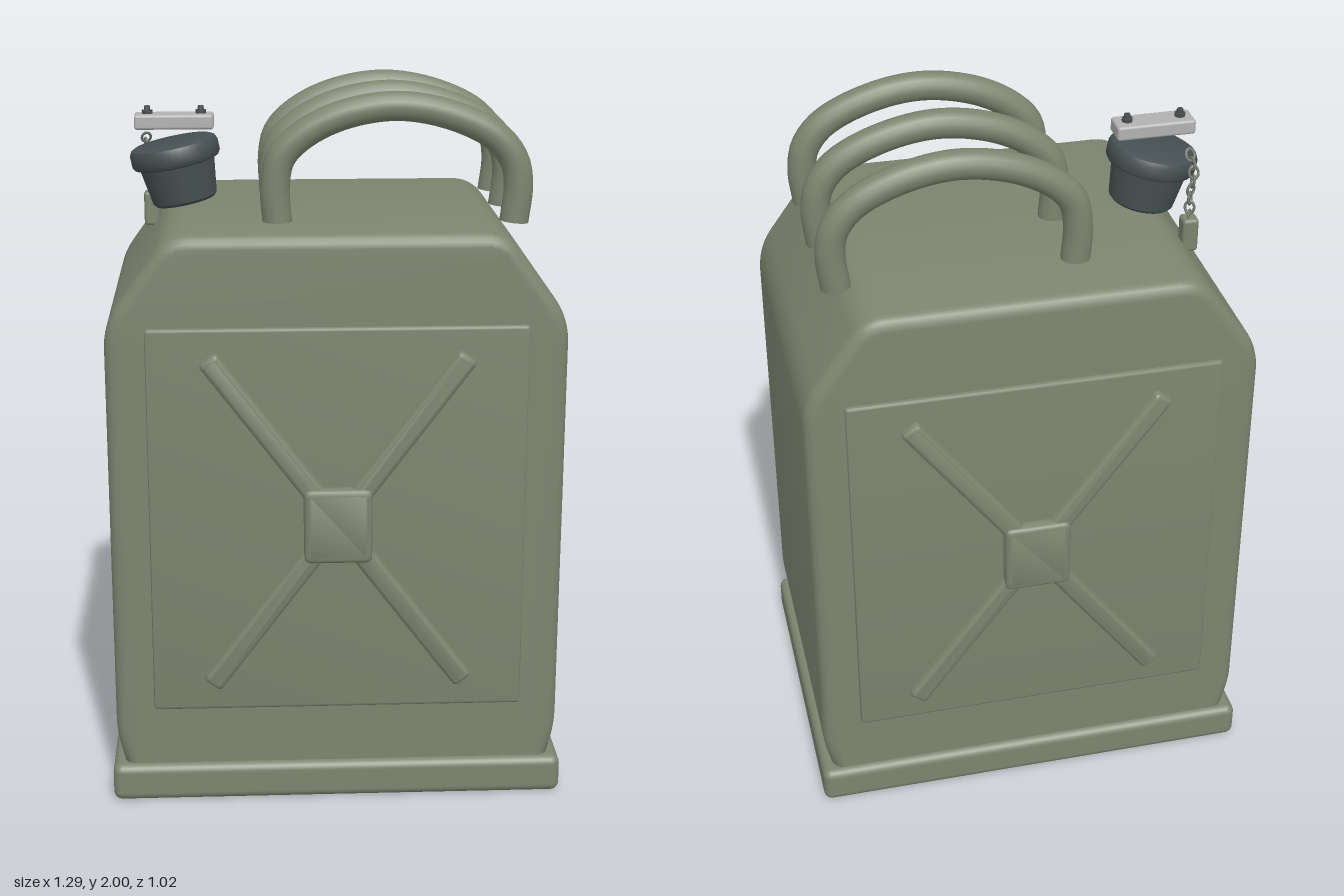
import * as THREE from 'three';
import { toCreasedNormals } from 'three/addons/utils/BufferGeometryUtils.js';
import { RoundedBoxGeometry } from 'three/addons/geometries/RoundedBoxGeometry.js';

const paint = (name, color) => new THREE.MeshStandardMaterial({ name, color });

function add(parent, name, geometry, material, x = 0, y = 0, z = 0) {
  const mesh = new THREE.Mesh(geometry, material);
  mesh.name = name;
  mesh.position.set(x, y, z);
  parent.add(mesh);
  return mesh;
}

// Closed polygon whose corners are rounded by the third value of each point
function roundedShape(points) {
  const shape = new THREE.Shape();
  const n = points.length;
  points.forEach(([x, y, r], i) => {
    const corner = new THREE.Vector2(x, y);
    const toward = ([px, py]) => new THREE.Vector2(px, py).sub(corner).setLength(r).add(corner);
    const a = toward(points[(i + n - 1) % n]);
    const b = toward(points[(i + 1) % n]);
    if (i === 0) shape.moveTo(a.x, a.y);
    else shape.lineTo(a.x, a.y);
    shape.quadraticCurveTo(x, y, b.x, b.y);
  });
  shape.closePath();
  return shape;
}

// Extrusion with rounded rims, spanning exactly z0 to z1
function slab(shape, z0, z1, bevel) {
  const g = new THREE.ExtrudeGeometry(shape, {
    depth: z1 - z0 - 2 * bevel, bevelEnabled: true, bevelThickness: bevel, bevelSize: bevel,
    bevelOffset: -bevel, bevelSegments: 4, curveSegments: 6,
  });
  g.translate(0, 0, z0 + bevel);
  return toCreasedNormals(g, 0.7);
}

const rect = (w, h, r) => roundedShape([
  [-w / 2, -h / 2, r], [w / 2, -h / 2, r], [w / 2, h / 2, r], [-w / 2, h / 2, r]]);

export function createModel() {
  const model = new THREE.Group();
  model.name = 'fuelCan';
  const olive = paint('olive paint', 0x7d846f);
  const rubber = paint('dark cap', 0x465052);
  const steel = paint('light steel', 0xb0b1b0);
  const darkSteel = paint('dark bolt', 0x4a4d4e);
  const chainMetal = paint('chain metal', 0x74786e);

  // Can body with sloped shoulders, on a wider foot
  const outline = roundedShape([
    [-0.605, 0.08, 0.01], [0.605, 0.08, 0.01], [0.633, 0.2, 0.04], [0.633, 1.405, 0.07],
    [0.458, 1.645, 0.06], [-0.458, 1.645, 0.06], [-0.633, 1.405, 0.07], [-0.633, 0.2, 0.04]]);
  add(model, 'body', slab(outline, -0.462, 0.462, 0.035), olive);
  add(model, 'foot', new RoundedBoxGeometry(1.29, 0.11, 0.97, 4, 0.025), olive, 0, 0.055, 0);

  // Pressed panel with a cross of ribs, on both broad sides
  const panelGeo = slab(rect(1.045, 1.115, 0.012), 0.44, 0.475, 0.01);
  const ribGeo = slab(rect(0.06, 1.19, 0.015), 0.45, 0.498, 0.015);
  const bossGeo = slab(rect(0.19, 0.215, 0.02), 0.45, 0.509, 0.018);
  for (const [side, turn] of [['front', 0], ['back', Math.PI]]) {
    const group = new THREE.Group();
    group.name = side + 'Panel';
    group.rotation.y = turn;
    model.add(group);
    add(group, 'panel', panelGeo, olive, 0, 0.838, 0);
    for (const s of [-1, 1]) add(group, 'rib', ribGeo, olive, 0, 0.838, 0).rotation.z = s * 0.642;
    add(group, 'boss', bossGeo, olive, 0, 0.835, 0);
  }

  // Three arched carrying handles
  const path = new THREE.CatmullRomCurve3([
    [-0.157, 1.64], [-0.163, 1.74], [-0.147, 1.82], [-0.09, 1.88], [0.02, 1.935], [0.17, 1.96],
    [0.32, 1.935], [0.445, 1.875], [0.497, 1.81], [0.51, 1.74], [0.5, 1.64],
  ].map(([x, y]) => new THREE.Vector3(x, y, 0)));
  const handleGeo = new THREE.TubeGeometry(path, 48, 0.041, 16);
  const endGeo = new THREE.CircleGeometry(0.041, 16);
  for (const z of [-0.25, 0, 0.25]) {
    const handle = new THREE.Group();
    handle.name = 'handle';
    handle.position.z = z;
    model.add(handle);
    add(handle, 'grip', handleGeo, olive);
    for (const t of [0, 1]) {
      const end = add(handle, 'handleEnd', endGeo, olive);
      const p = path.getPoint(t);
      end.position.copy(p);
      end.lookAt(p.clone().addScaledVector(path.getTangent(t), t ? 1 : -1));
    }
  }

  // Tilted, tapered cap with a thick rim
  const capProfile = [[0, 0], [0.085, 0], [0.093, 0.008], [0.108, 0.11], [0.122, 0.115],
    [0.128, 0.125], [0.128, 0.155], [0.122, 0.168], [0.11, 0.174], [0, 0.174]];
  const capGeo = new THREE.LatheGeometry(capProfile.map(([x, y]) => new THREE.Vector2(x, y)), 40);
  const cap = add(model, 'cap', toCreasedNormals(capGeo, 0.6), rubber, -0.415, 1.66, 0);
  cap.rotation.z = 0.2;

  // Clamp bar above the cap with two bolts
  add(model, 'clampBar', new RoundedBoxGeometry(0.225, 0.042, 0.08, 3, 0.008), steel, -0.443, 1.889, 0);
  for (const x of [-0.519, -0.367]) {
    add(model, 'boltWasher', new THREE.CylinderGeometry(0.015, 0.015, 0.012, 16), darkSteel, x, 1.914, 0);
    add(model, 'boltHead', new THREE.CylinderGeometry(0.009, 0.011, 0.016, 6), darkSteel, x, 1.924, 0);
  }

  // Chain from the cap rim down to a lug on the shoulder
  add(model, 'chainLug', new RoundedBoxGeometry(0.046, 0.1, 0.05, 3, 0.01), olive, -0.517, 1.615, -0.135);
  const chain = new THREE.CatmullRomCurve3([
    new THREE.Vector3(-0.527, 1.83, -0.085), new THREE.Vector3(-0.53, 1.785, -0.115),
    new THREE.Vector3(-0.522, 1.73, -0.118), new THREE.Vector3(-0.518, 1.665, -0.133)]);
  const linkGeo = new THREE.TorusGeometry(0.013, 0.0038, 6, 14);
  linkGeo.scale(1, 1.3, 1);
  const count = 8;
  for (let i = 0; i < count; i++) {
    const t = i / (count - 1);
    const link = add(model, 'chainLink', linkGeo, chainMetal);
    link.position.copy(chain.getPointAt(t));
    link.quaternion.setFromUnitVectors(new THREE.Vector3(0, 1, 0), chain.getTangentAt(t));
    link.rotateY(i % 2 ? Math.PI / 2 : 0);
  }
  return model;
}
